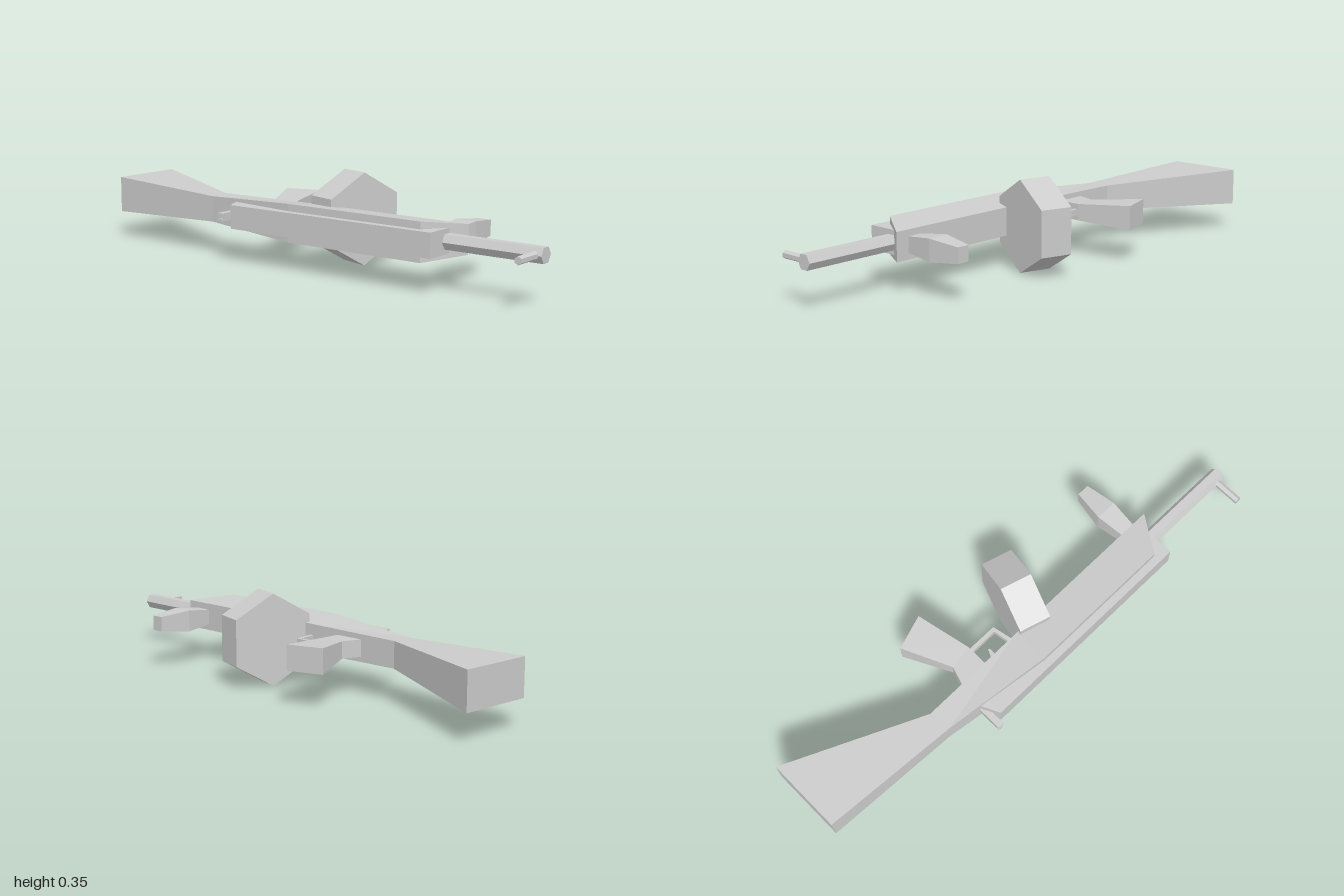
import * as THREE from 'three';

const MID = 0.175; // height of the mirror plane
const material = new THREE.MeshStandardMaterial({ color: 0xcccccc, flatShading: true });

// Loft through rectangular sections, each given by two edges [x, z, halfThickness]
function loft(sections) {
  const rings = sections.map(([a, b]) => [
    [a[0], MID - a[2], a[1]], [b[0], MID - b[2], b[1]],
    [b[0], MID + b[2], b[1]], [a[0], MID + a[2], a[1]],
  ]);
  const positions = [];
  const quad = (p, q, r, s) => positions.push(...p, ...q, ...r, ...p, ...r, ...s);
  for (let i = 0; i < rings.length - 1; i++) {
    for (let j = 0; j < 4; j++) {
      const k = (j + 1) % 4;
      quad(rings[i][j], rings[i + 1][j], rings[i + 1][k], rings[i][k]);
    }
  }
  const last = rings[rings.length - 1];
  quad(...rings[0]);
  quad(last[3], last[2], last[1], last[0]);
  const geometry = new THREE.BufferGeometry();
  geometry.setAttribute('position', new THREE.Float32BufferAttribute(positions, 3));
  geometry.computeVertexNormals();
  return geometry;
}

export function createModel() {
  const model = new THREE.Group();
  const add = (name, geometry, x = 0, y = 0, z = 0) => {
    const mesh = new THREE.Mesh(geometry, material);
    mesh.name = name;
    mesh.position.set(x, y, z);
    model.add(mesh);
    return mesh;
  };

  // Shoulder stock flowing into the receiver
  add('stockAndReceiver', loft([
    [[-1, -0.19, 0.071], [-1, 0.105, 0.071]],
    [[-0.47, 0.05, 0.05], [-0.46, 0.138, 0.05]],
    [[-0.03, 0.05, 0.054], [-0.03, 0.196, 0.072]],
    [[0.655, 0.05, 0.054], [0.555, 0.196, 0.072]],
  ]));

  // Long cover with a sloped rear end
  add('topCover', loft([
    [[-0.32, 0.108, 0.045], [-0.32, 0.155, 0.045]],
    [[-0.285, 0.108, 0.045], [-0.285, 0.226, 0.045]],
    [[0.615, 0.108, 0.045], [0.615, 0.226, 0.045]],
  ]));

  // Rear hand grip
  add('pistolGrip', loft([
    [[-0.31, 0.055, 0.032], [-0.19, 0.055, 0.032]],
    [[-0.285, -0.025, 0.032], [-0.19, -0.04, 0.032]],
    [[-0.375, -0.21, 0.047], [-0.24, -0.255, 0.047]],
  ]));

  // Front hand grip, thickest in the middle
  add('foregrip', loft([
    [[0.54, 0.055, 0.029], [0.6, 0.055, 0.029]],
    [[0.525, -0.065, 0.042], [0.61, -0.065, 0.042]],
    [[0.545, -0.19, 0.029], [0.595, -0.19, 0.029]],
  ]));

  // Trigger guard and trigger
  add('triggerGuard', loft([
    [[-0.21, 0.038 - 0.076, 0.012], [-0.21, -0.022, 0.012]],
    [[-0.065, -0.038, 0.012], [-0.075, -0.022, 0.012]],
    [[-0.045, 0.055, 0.012], [-0.062, 0.055, 0.012]],
  ]));
  add('trigger', loft([
    [[-0.16, 0.055, 0.01], [-0.135, 0.055, 0.01]],
    [[-0.14, 0.012, 0.009], [-0.132, 0.012, 0.009]],
  ]));

  // Tilted six-sided drum
  const drum = new THREE.CylinderGeometry(0.175, 0.175, 0.125, 6);
  drum.rotateY(Math.PI / 6);
  drum.rotateZ(-Math.PI / 2);
  // A corner points straight up and down
  const up = drum.attributes.position;
  const highest = Math.max(...Array.from({ length: up.count }, (_, i) => up.getY(i)));
  if (highest < 0.174) drum.rotateX(Math.PI / 6);
  add('drumMagazine', drum, 0.0775, MID, -0.0625).rotation.y = -0.285;

  // Six-sided barrel, flat faces on its upper and lower sides
  const barrel = new THREE.CylinderGeometry(0.031, 0.031, 0.42, 6);
  barrel.rotateZ(-Math.PI / 2);
  add('barrel', barrel, 0.79, MID, 0.122);

  // Front sight post
  const post = new THREE.CylinderGeometry(0.015, 0.015, 0.12, 6);
  post.rotateX(Math.PI / 2);
  add('frontSight', post, 0.973, MID, 0.194);

  // Rear sight: a base with two prongs
  add('rearSightBase', new THREE.BoxGeometry(0.025, 0.03, 0.1), -0.312, MID, 0.195);
  for (const side of [-1, 1]) {
    add('rearSightProng', new THREE.BoxGeometry(0.025, 0.008, 0.012), -0.312, MID + side * 0.011, 0.249);
  }
  return model;
}
